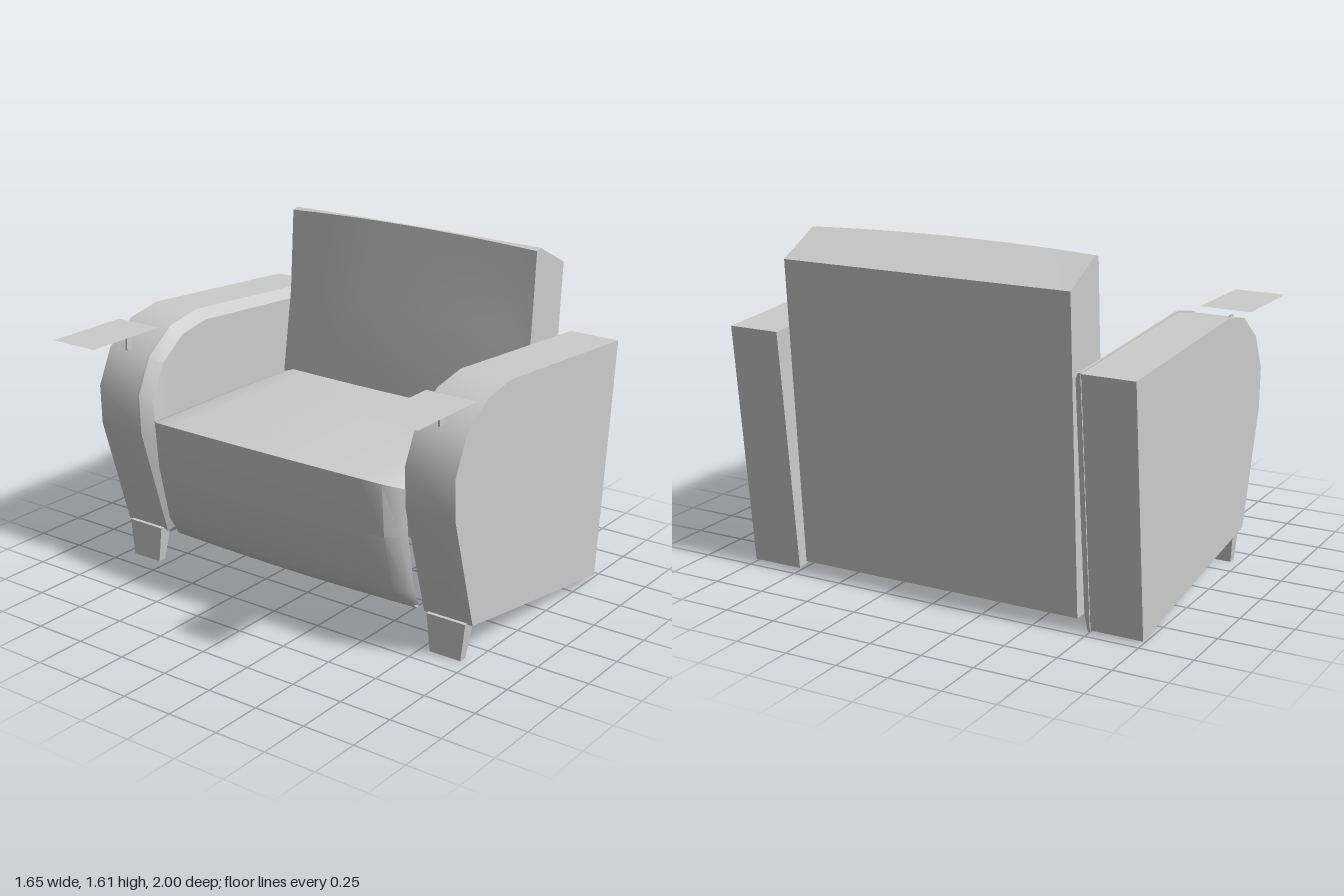
import * as THREE from 'three';
import { mergeVertices, toCreasedNormals } from 'three/addons/utils/BufferGeometryUtils.js';

const grey = new THREE.MeshStandardMaterial({ color: 0xcccccc, side: THREE.DoubleSide });

// Skin a row of cross-sections ([x, y, z] points); closed sections get fan caps.
function loft(sections, closed) {
  const n = sections[0].length, index = [];
  const last = closed ? n : n - 1;
  for (let s = 0; s < sections.length - 1; s++) {
    for (let i = 0; i < last; i++) {
      const a = s * n + i, b = s * n + (i + 1) % n;
      index.push(a, b, b + n, a, b + n, a + n);
    }
  }
  if (closed) {
    const end = (sections.length - 1) * n;
    for (let i = 1; i < n - 1; i++) {
      index.push(0, i + 1, i, end, end + i, end + i + 1);
    }
  }
  const geometry = new THREE.BufferGeometry();
  geometry.setAttribute('position', new THREE.Float32BufferAttribute(sections.flat(2), 3));
  geometry.setIndex(index);
  return toCreasedNormals(mergeVertices(geometry), 0.6);
}

function add(parent, name, geometry) {
  const mesh = new THREE.Mesh(geometry, grey);
  mesh.name = name;
  parent.add(mesh);
  return mesh;
}

// Arm outline, counter-clockwise seen from +z
const armOutline = [
  [-0.39, 0.17], [0.71, 0.005], [0.825, 1.165], [-0.14, 1.23],
  [-0.32, 1.195], [-0.475, 1.08], [-0.555, 0.91], [-0.55, 0.72],
];
const armRing = (z, s) =>
  armOutline.map(([x, y]) => [0.12 + (x - 0.12) * s, 0.62 + (y - 0.62) * s, z]);

export function createModel() {
  const group = new THREE.Group();
  group.name = 'armchair';

  for (const side of [1, -1]) {
    const arm = new THREE.Group();
    arm.name = side > 0 ? 'leftArm' : 'rightArm';
    group.add(arm);
    const z0 = side > 0 ? 0.75 : -1;
    add(arm, 'armBody', loft([armRing(z0, 0.99), armRing(z0 + 0.25, 0.99)], true));

    // Bevelled lining on the inside of one arm
    if (side < 0) {
      add(arm, 'armLining', loft([armRing(-0.755, 1), armRing(-0.745, 1), armRing(-0.705, 0.92)], true));
    }

    // Thin tray reaching forward from the arm top, on a small post
    const tray = add(arm, 'armTray', new THREE.PlaneGeometry(0.43, 0.25).rotateX(-Math.PI / 2));
    tray.position.set(-0.615, 1.2, side * 0.875);
    const post = add(arm, 'trayPost', new THREE.BoxGeometry(0.035, 0.07, 0.01));
    post.position.set(-0.472, 1.125, side * 0.875);

    // Tapered front foot
    const foot = (y, x0, x1, half) => [
      [x0, y, side * 0.875 + half], [x1, y, side * 0.875 + half],
      [x1, y, side * 0.875 - half], [x0, y, side * 0.875 - half],
    ];
    add(arm, 'frontFoot', loft([foot(0, -0.405, -0.365, 0.08), foot(0.18, -0.405, -0.335, 0.1)], true));
  }

  // Backrest: the front bows forward and the top rises slightly at the middle
  const back = [];
  for (let i = 0; i <= 12; i++) {
    const t = i / 6 - 1, bow = 1 - t * t, z = t * 0.7;
    back.push([
      [0.47 - 0.02 * bow, 0.06, z], [0.72, 0.06, z], [0.81, 1.49, z],
      [0.59 - 0.03 * bow, 1.6 + 0.012 * bow, z], [0.56 - 0.008 * bow, 1.59 + 0.02 * bow, z],
      [0.535 - 0.03 * bow, 1.19, z], [0.475 - 0.025 * bow, 0.79, z],
    ]);
  }
  add(group, 'backrest', loft(back, true));

  // Seat: an open shell of top and curved front, drawn in at both ends
  const seatSection = (z, bow, inset) => [
    [0.48, 0.79 - inset * 0.4, z],
    [0.1, 0.8 + 0.02 * bow - inset * 0.4, z],
    [-0.56 - 0.047 * bow + inset, 0.8 + 0.02 * bow - inset * 0.4, z],
    [-0.54 - 0.045 * bow + inset, 0.55, z],
    [-0.47 - 0.04 * bow + inset * 0.8, 0.27, z],
    [-0.4 - 0.02 * bow + inset * 0.4, 0.185, z],
    [-0.375, 0.17, z],
  ];
  const seat = [seatSection(-0.71, 0, 0.08), seatSection(-0.69, 0, 0.045)];
  for (let i = 0; i <= 12; i++) {
    const t = i / 6 - 1;
    seat.push(seatSection(t * 0.64, 1 - t * t, 0));
  }
  seat.push(seatSection(0.69, 0, 0.045), seatSection(0.71, 0, 0.08));
  // Sections run front-down, so reverse them to face outward
  add(group, 'seat', loft(seat.map((s) => s.reverse()).reverse(), false));

  return group;
}
